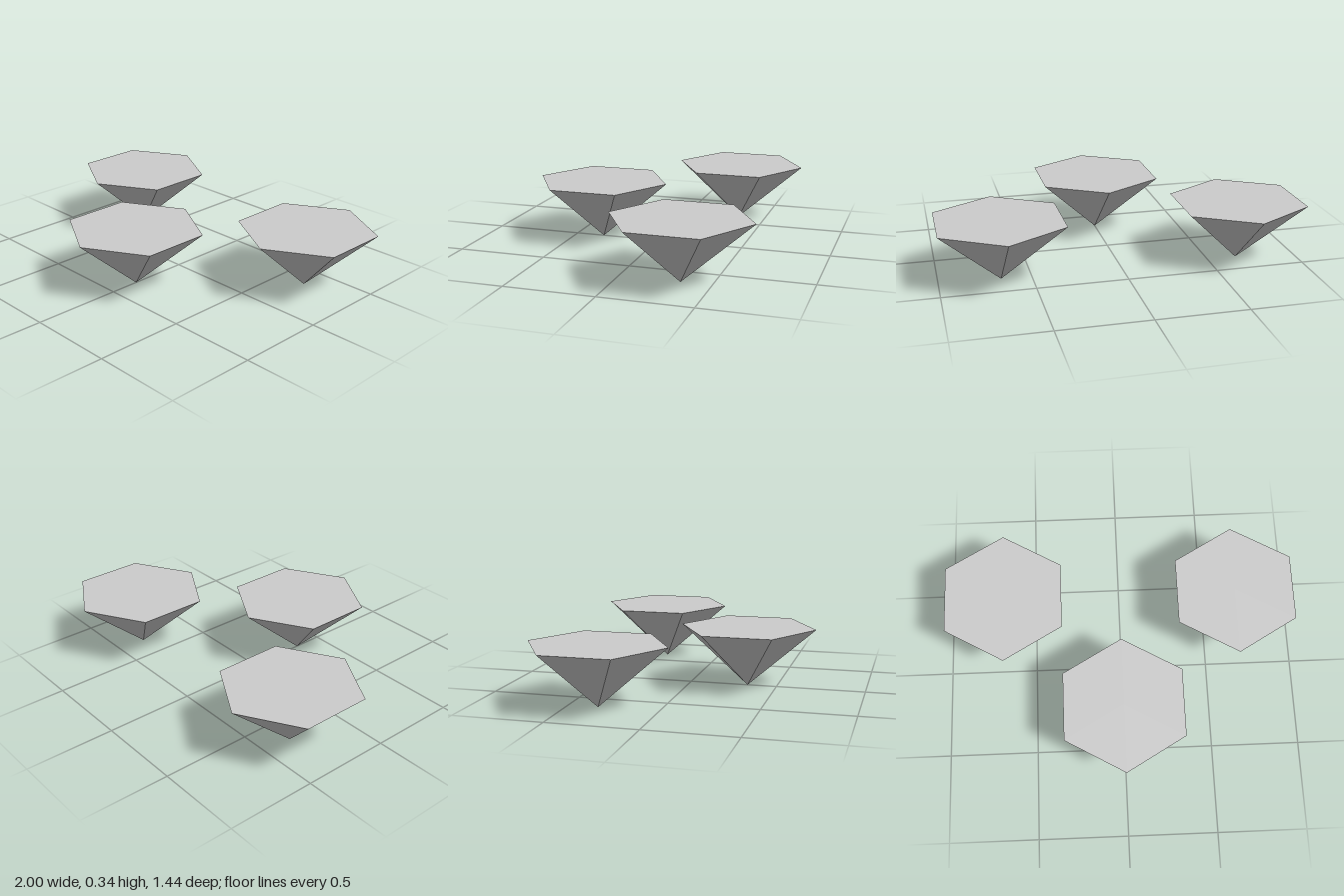
import * as THREE from 'three';

const RADIUS = 0.385;
const HEIGHT = 0.338;

export function createModel() {
  const group = new THREE.Group();
  const material = new THREE.MeshStandardMaterial({ color: 0xcccccc, flatShading: true });

  // Inverted six-sided pyramid: flat hexagon on top, point on the ground
  const geometry = new THREE.CylinderGeometry(RADIUS, 0, HEIGHT, 6);
  geometry.translate(0, HEIGHT / 2, 0);

  // Three identical pyramids in a triangle
  const places = [
    ['frontPyramid', 0, 0.333],
    ['backLeftPyramid', 0.666, -0.333],
    ['backRightPyramid', -0.666, -0.333],
  ];
  for (const [name, x, z] of places) {
    const pyramid = new THREE.Mesh(geometry, material);
    pyramid.name = name;
    pyramid.position.set(x, 0, z);
    group.add(pyramid);
  }
  return group;
}
